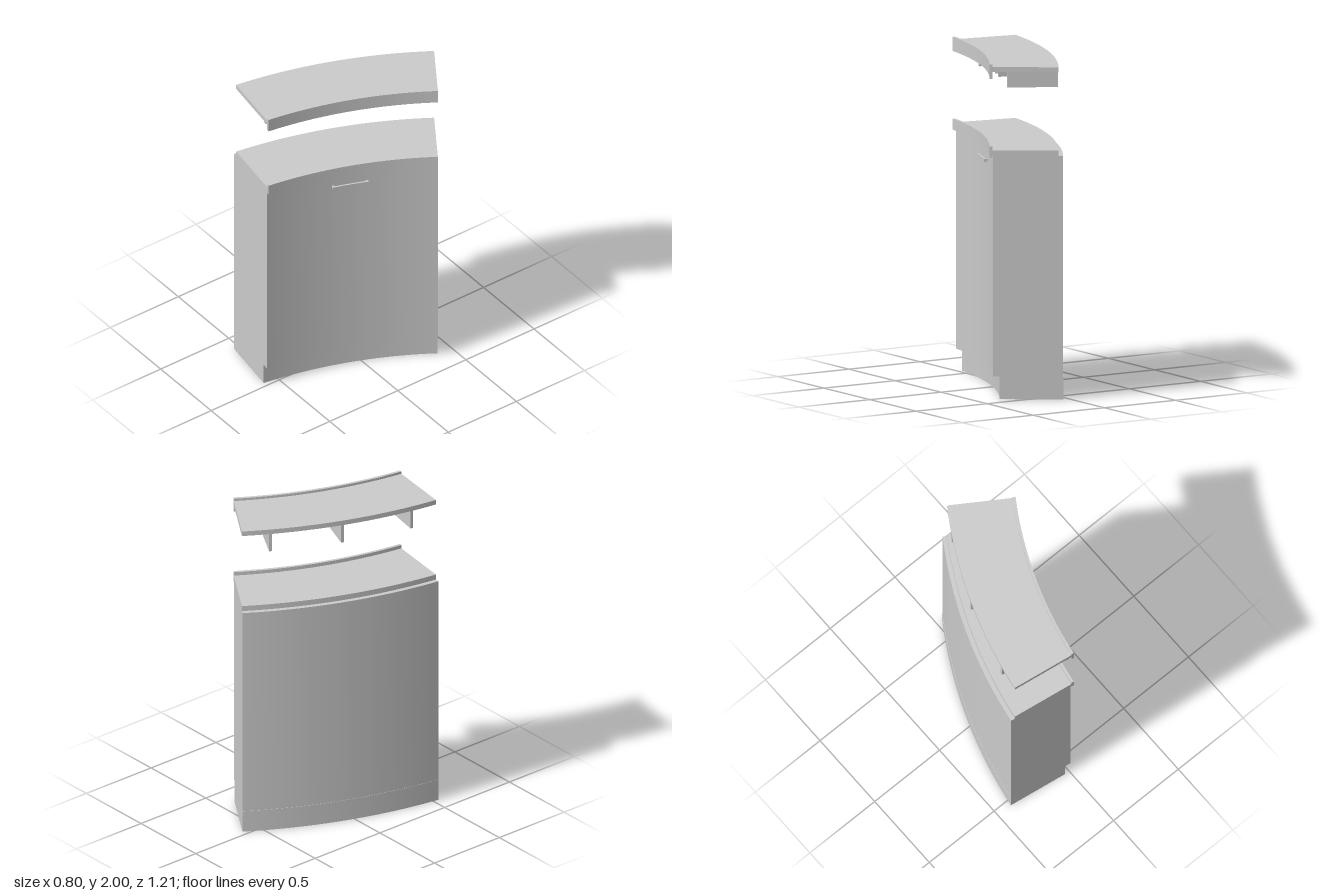
import * as THREE from 'three';
import { toCreasedNormals } from 'three/addons/utils/BufferGeometryUtils.js';

// Everything is laid out on arcs about one centre (x, z); angles in degrees.
const CX = 2.448, CZ = 0.967;
const START = 8.6, END = 33.15, MID = 20.88;
const rad = THREE.MathUtils.degToRad;

export function createModel() {
  const root = new THREE.Group();
  root.name = 'curvedCounter';
  const material = new THREE.MeshStandardMaterial({ color: 0xcccccc });

  // Solid ring sector between two radii, two heights and two angles
  function sector(name, r0, r1, y0, y1, a0 = START, a1 = END, segments = 28) {
    const shape = new THREE.Shape();
    const t0 = Math.PI - rad(a0), t1 = Math.PI - rad(a1);
    shape.absarc(CX, -CZ, r1, t0, t1, true);
    shape.absarc(CX, -CZ, r0, t1, t0, false);
    shape.closePath();
    let geo = new THREE.ExtrudeGeometry(shape, { depth: y1 - y0, bevelEnabled: false, curveSegments: segments });
    geo.rotateX(-Math.PI / 2);
    geo.translate(0, y0, 0);
    geo = toCreasedNormals(geo, 0.4);
    const mesh = new THREE.Mesh(geo, material);
    mesh.name = name;
    root.add(mesh);
    return mesh;
  }

  // Straight box pointing along the radius at a given angle
  function radialBox(name, r0, r1, y0, y1, angle, thickness) {
    const mesh = new THREE.Mesh(new THREE.BoxGeometry(r1 - r0, y1 - y0, thickness), material);
    const r = (r0 + r1) / 2, a = rad(angle);
    mesh.position.set(CX - r * Math.cos(a), (y0 + y1) / 2, CZ - r * Math.sin(a));
    mesh.rotation.y = -a;
    mesh.name = name;
    root.add(mesh);
  }

  // Cabinet with recessed plinth
  sector('plinth', 2.506, 2.882, 0, 0.135);
  sector('cabinetBody', 2.467, 2.88, 0.135, 1.455);

  // Worktop and raised upper shelf, each with a trim on the concave edge
  sector('worktop', 2.463, 2.853, 1.455, 1.488);
  sector('worktopTrim', 2.446, 2.463, 1.445, 1.51);
  sector('upperShelf', 2.463, 2.853, 1.955, 1.985);
  sector('upperShelfTrim', 2.446, 2.463, 1.915, 2.0);

  // Light strip and brackets under the upper shelf
  sector('lightStrip', 2.48, 2.5, 1.946, 1.955);
  for (const angle of [11.9, MID, 29.7]) {
    radialBox('shelfBracket', 2.555, 2.853, 1.84, 1.955, angle, 0.018);
  }

  // Door handle: curved bar on two posts
  sector('handleBar', 2.447, 2.457, 1.352, 1.37, MID - 2.6, MID + 2.6, 10);
  for (const side of [-1, 1]) {
    radialBox('handlePost', 2.452, 2.47, 1.353, 1.369, MID + side * 2.4, 0.014);
  }
  return root;
}
